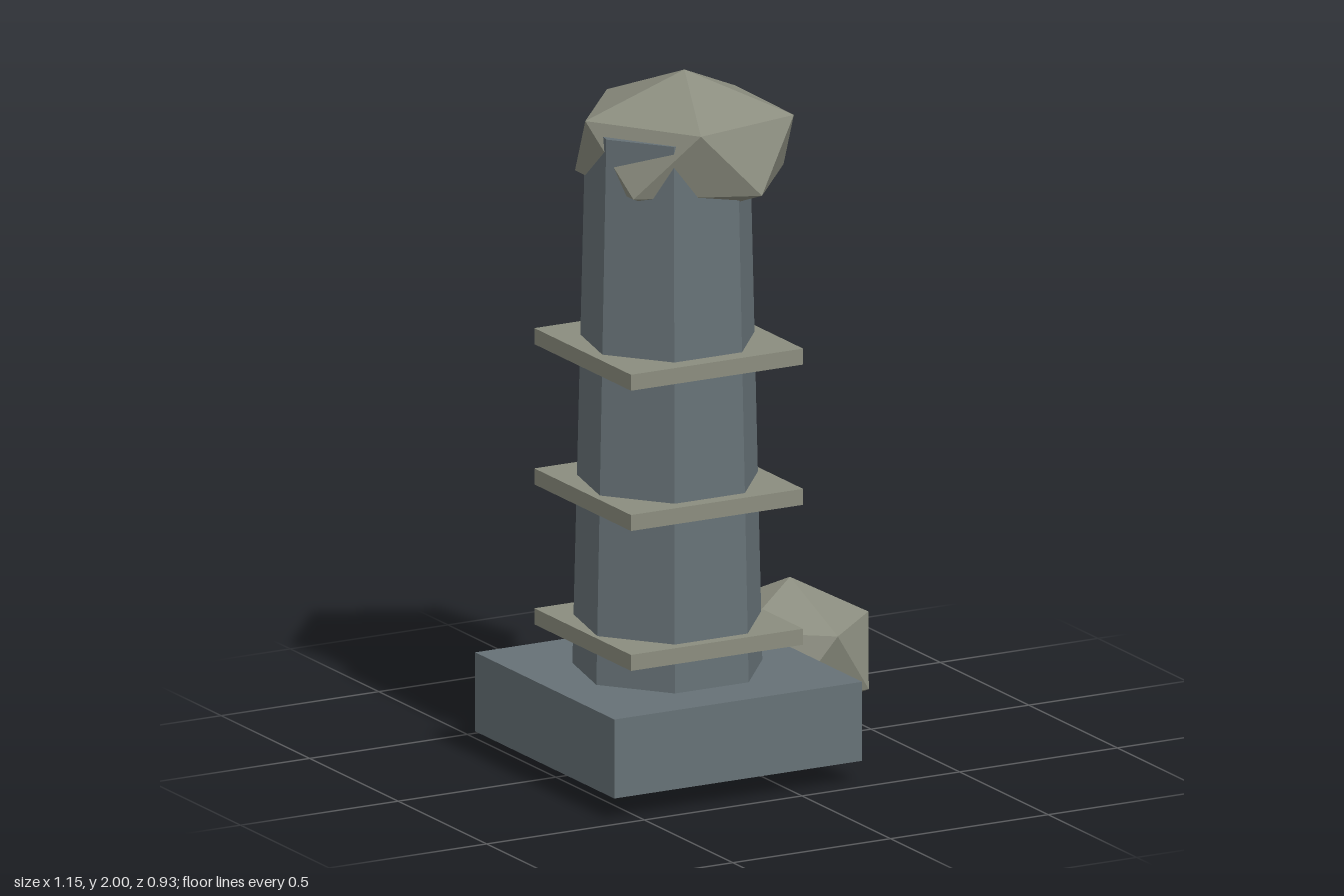
import * as THREE from 'three';
import { ConvexGeometry } from 'three/addons/geometries/ConvexGeometry.js';

const CX = -0.183, CZ = 0.073; // axis of the pillar

// Squashed twenty-sided boulder: a tip and an upper ring, mirrored through the centre
function boulder(tip, ringY, ring) {
  const half = [[0, tip, 0], ...ring.map(([x, z]) => [x, ringY, z])];
  const points = half.flatMap(([x, y, z]) => [
    new THREE.Vector3(x, y, z),
    new THREE.Vector3(-x, -y, -z),
  ]);
  return new ConvexGeometry(points);
}

export function createModel() {
  const model = new THREE.Group();
  model.name = 'stonePillar';

  const slate = new THREE.MeshStandardMaterial({ color: 0x667176, flatShading: true });
  slate.name = 'slate';
  const paleStone = new THREE.MeshStandardMaterial({ color: 0x8b8d7f, flatShading: true });
  paleStone.name = 'paleStone';

  const add = (name, geometry, material, x, y, z) => {
    const mesh = new THREE.Mesh(geometry, material);
    mesh.name = name;
    mesh.position.set(x, y, z);
    model.add(mesh);
    return mesh;
  };

  // Square plinth
  add('plinth', new THREE.BoxGeometry(0.786, 0.227, 0.786), slate, CX, 0.177, CZ);

  // Tapered seven-sided shaft, flat face to the front
  const shaft = add('shaft', new THREE.CylinderGeometry(0.233, 0.27, 1.56, 7), slate, CX, 1.07, CZ);
  shaft.rotation.y = Math.PI;

  // Three square bands around the shaft
  const bandGeometry = new THREE.BoxGeometry(0.546, 0.046, 0.546);
  [0.407, 0.809, 1.212].forEach((y, i) => add(`band${i + 1}`, bandGeometry, paleStone, CX, y, CZ));

  // Boulder resting over the top of the shaft
  add('capBoulder', boulder(0.21, 0.095, [
    [-0.297, -0.031], [-0.086, -0.285], [0.243, -0.145], [0.237, 0.196], [-0.097, 0.266],
  ]), paleStone, -0.132, 1.79, 0.071);

  // Fallen boulder beside the plinth
  add('fallenBoulder', boulder(0.202, 0.091, [
    [-0.138, -0.2], [0.121, -0.211], [0.209, 0.071], [0.01, 0.253], [-0.202, 0.087],
  ]), paleStone, 0.363, 0.202, -0.215);

  return model;
}
